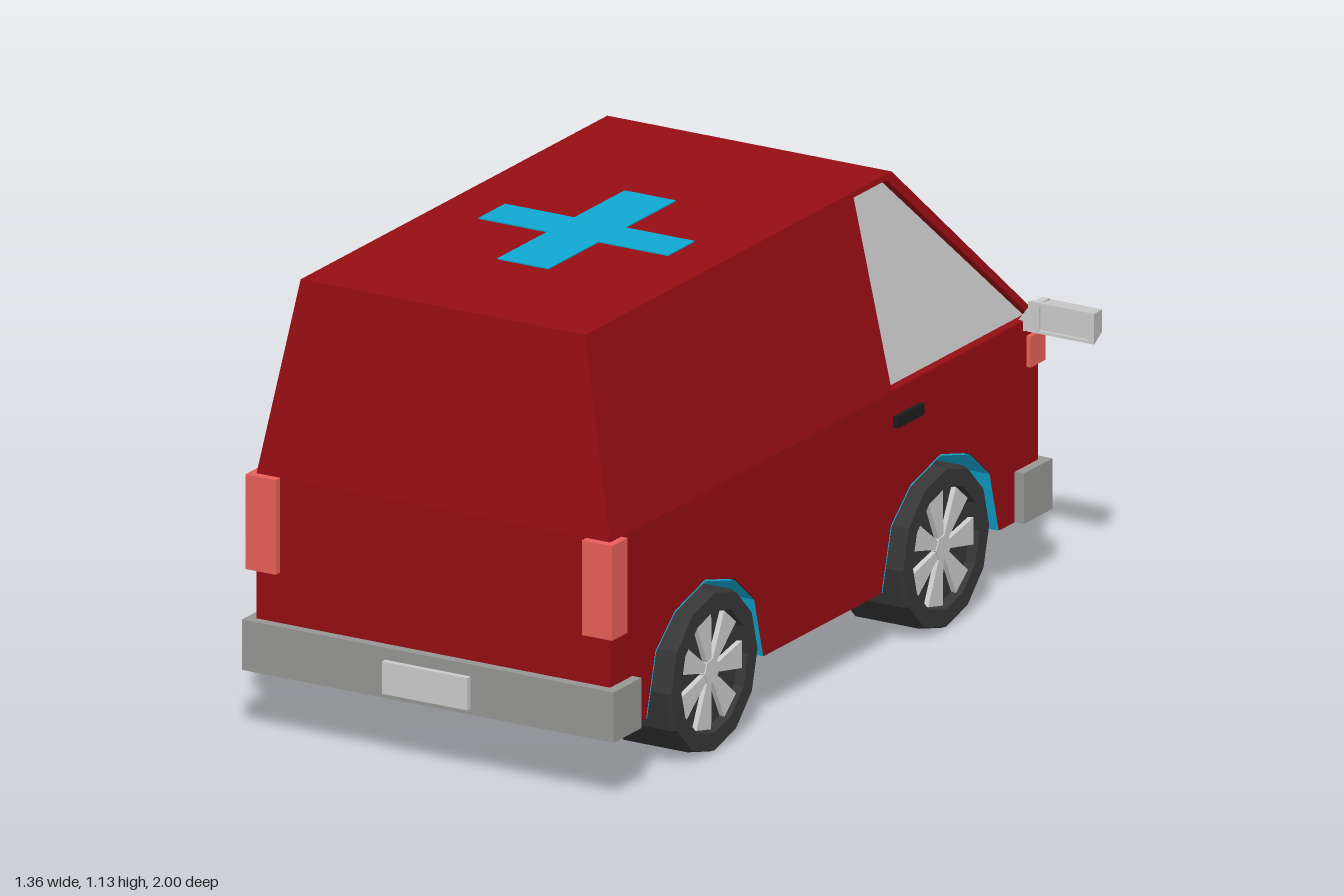
import * as THREE from 'three';

const mat = (color) => new THREE.MeshStandardMaterial({ color, flatShading: true, side: THREE.DoubleSide });
const RED = mat(0x960d13), BLUE = mat(0x10a8d2), GREY = mat(0xcccccc), STEEL = mat(0x969694);
const LAMP = mat(0xe8605a), TYRE = mat(0x363636), BLACK = mat(0x1c1c1c);

const HALF = 0.485, SILL = 0.165, BELT = 0.65, ROOF = 1.135, TOP_HALF = 0.39;
const REAR = 0.96, NOSE = -0.975, WELL_IN = 0.297;

function add(parent, name, geometry, material, x = 0, y = 0, z = 0) {
  const mesh = new THREE.Mesh(geometry, material);
  mesh.name = name;
  mesh.position.set(x, y, z);
  parent.add(mesh);
  return mesh;
}

// Box given by its limits
function block(parent, name, material, [x0, x1], [y0, y1], [z0, z1]) {
  return add(parent, name, new THREE.BoxGeometry(Math.abs(x1 - x0), y1 - y0, Math.abs(z1 - z0)), material,
    (x0 + x1) / 2, (y0 + y1) / 2, (z0 + z1) / 2);
}

// Skin through equal-length loops of points, optionally capped at either end
function loft(rings, { closed = true, capStart = false, capEnd = false } = {}) {
  const out = [], n = rings[0].length;
  const tri = (...pts) => pts.forEach((p) => out.push(...p));
  for (let k = 0; k + 1 < rings.length; k++) {
    const a = rings[k], b = rings[k + 1];
    for (let i = 0; i < (closed ? n : n - 1); i++) {
      const j = (i + 1) % n;
      tri(a[i], a[j], b[j]);
      tri(a[i], b[j], b[i]);
    }
  }
  const first = rings[0], last = rings[rings.length - 1];
  for (let i = 1; i + 1 < n; i++) {
    if (capEnd) tri(last[0], last[i], last[i + 1]);
    if (capStart) tri(first[0], first[i + 1], first[i]);
  }
  const g = new THREE.BufferGeometry();
  g.setAttribute('position', new THREE.Float32BufferAttribute(out, 3));
  g.computeVertexNormals();
  return g;
}

// Mirrors a loop to side s, keeping its winding outward
const sided = (s, loop) => {
  const pts = loop.map(([x, y, z]) => [s * x, y, z]);
  return s < 0 ? pts.reverse() : pts;
};

// Panel with a recessed window
function windowPanel(parent, name, outer, inner, inset) {
  add(parent, name + 'Frame', loft([outer, inner, inset]), RED);
  add(parent, name + 'Glass', loft([inset], { capEnd: true }), GREY);
}

const WELLS = [0.53, -0.535];
const ARCH = [[0.267, SILL], [0.225, 0.32], [0.137, 0.395], [0, 0.432], [-0.137, 0.395], [-0.225, 0.32], [-0.267, SILL]];

function lowerBody(body) {
  block(body, 'lowerBodyCore', RED, [-0.29, 0.29], [SILL, BELT], [NOSE, REAR]);
  // Side panels with arch cut-outs
  const shape = new THREE.Shape();
  shape.moveTo(NOSE, BELT);
  shape.lineTo(REAR, BELT);
  shape.lineTo(REAR, SILL);
  for (const c of WELLS) ARCH.forEach(([dz, y]) => shape.lineTo(c + dz, y));
  shape.lineTo(NOSE, SILL);
  const panel = new THREE.ExtrudeGeometry(shape, { depth: HALF - 0.29, bevelEnabled: false }).rotateY(-Math.PI / 2);
  add(body, 'leftLowerPanel', panel, RED, HALF);
  add(body, 'rightLowerPanel', panel, RED, -0.29);
  // Wheel well linings
  for (const s of [1, -1]) for (const c of WELLS) {
    const ring = (x) => ARCH.map(([dz, y]) => [s * x, SILL + (y - SILL) * 0.985, c + dz * 0.985]);
    add(body, 'wheelWell', loft([ring(HALF), ring(WELL_IN)], { closed: false, capEnd: true }), BLUE);
  }
}

function upperBody(body) {
  const onSide = (y, z, inward = 0) => [HALF - (HALF - TOP_HALF) * (y - BELT) / (ROOF - BELT) - inward, y, z];
  const backTop = 0.917, frontTop = -0.47;
  for (const s of [1, -1]) {
    const win = [[0.654, -0.315], [0.654, -0.945], [1.122, -0.442], [1.122, -0.294]];
    windowPanel(body, s > 0 ? 'leftSide' : 'rightSide',
      sided(s, [onSide(BELT, REAR), onSide(BELT, NOSE), onSide(ROOF, frontTop), onSide(ROOF, backTop)]),
      sided(s, win.map(([y, z]) => onSide(y, z))),
      sided(s, win.map(([y, z]) => onSide(y, z, 0.022))));
  }
  // Windscreen: t runs up the slope
  const onFront = (x, t, d = 0) => [x, BELT + (ROOF - BELT) * t - d, NOSE + (frontTop - NOSE) * t + d];
  const screen = [[0.437, 0.07], [-0.437, 0.07], [-0.352, 0.945], [0.352, 0.945]];
  windowPanel(body, 'windscreen',
    [onFront(HALF, 0), onFront(-HALF, 0), onFront(-TOP_HALF, 1), onFront(TOP_HALF, 1)],
    screen.map(([x, t]) => onFront(x, t)),
    screen.map(([x, t]) => onFront(x, t, 0.008)));
  const t = TOP_HALF;
  add(body, 'roof', loft([[[-t, ROOF, backTop], [t, ROOF, backTop], [t, ROOF, frontTop], [-t, ROOF, frontTop]]], { capEnd: true }), RED);
  add(body, 'rearPanel', loft([[[-HALF, BELT, REAR], [HALF, BELT, REAR], [t, ROOF, backTop], [-t, ROOF, backTop]]], { capEnd: true }), RED);

  // Roof cross
  const cross = new THREE.Shape();
  const a = 0.07, b = 0.06, w = 0.26, h = 0.288;
  [[a, b], [w, b], [w, -b], [a, -b], [a, -h], [-a, -h], [-a, -b], [-w, -b], [-w, b], [-a, b], [-a, h], [a, h]]
    .forEach(([x, y], i) => (i ? cross.lineTo(x, y) : cross.moveTo(x, y)));
  add(body, 'roofCross', new THREE.ExtrudeGeometry(cross, { depth: 0.003, bevelEnabled: false }).rotateX(-Math.PI / 2),
    BLUE, 0, ROOF, 0.267);
}

function wheel() {
  const g = new THREE.Group();
  const profile = [[0, -0.095], [0.2, -0.095], [0.2, 0.08], [0.195, 0.093], [0.152, 0.093], [0.146, 0.07], [0, 0.07]];
  const tyre = new THREE.LatheGeometry(profile.map(([r, y]) => new THREE.Vector2(r, y)), 12).rotateZ(-Math.PI / 2);
  add(g, 'tyre', tyre, TYRE);
  // Spokes widen towards the rim
  const spoke = new THREE.Shape([[-0.009, 0.02], [0.009, 0.02], [0.034, 0.141], [-0.034, 0.141]]
    .map(([x, y]) => new THREE.Vector2(x, y)));
  const spokeGeo = new THREE.ExtrudeGeometry(spoke, { depth: 0.015, bevelEnabled: false }).rotateY(Math.PI / 2);
  for (let i = 0; i < 7; i++) {
    add(g, 'spoke', spokeGeo, GREY, 0.068).rotation.x = (i + 0.25) * Math.PI * 2 / 7;
  }
  add(g, 'hub', new THREE.CylinderGeometry(0.032, 0.032, 0.02, 7).rotateZ(-Math.PI / 2), GREY, 0.076);
  return g;
}

function mirror(parent, s) {
  const rect = (x0, x1, y0, y1, z) => sided(s, [[x0, y0, z], [x1, y0, z], [x1, y1, z], [x0, y1, z]]);
  const inset = rect(0.53, 0.663, 0.637, 0.698, -0.913);
  const rings = [rect(0.52, 0.663, 0.64, 0.695, -0.972), rect(0.5, 0.682, 0.63, 0.706, -0.905),
    rect(0.53, 0.663, 0.637, 0.698, -0.905), inset];
  add(parent, 'mirrorHousing', loft(rings, { capStart: true }), GREY);
  add(parent, 'mirrorGlass', loft([inset], { capEnd: true }), GREY);
  // Arm tapering to the door
  const arm = [[0.47, 0.628], [0.53, 0.632], [0.53, 0.704], [0.51, 0.704], [0.47, 0.65]];
  const armRing = (z) => sided(s, arm.map(([x, y]) => [x, y, z]));
  add(parent, 'mirrorArm', loft([armRing(-0.955), armRing(-0.907)], { capStart: true, capEnd: true }), GREY);
}

export function createModel() {
  const van = new THREE.Group();
  van.name = 'van';
  const body = new THREE.Group();
  body.name = 'body';
  van.add(body);
  lowerBody(body);
  upperBody(body);

  // Bumpers and plates
  block(van, 'rearBumper', STEEL, [-0.51, 0.51], [SILL, 0.29], [0.86, 0.985]);
  block(van, 'frontBumper', STEEL, [-0.51, 0.51], [SILL, 0.29], [-1, -0.87]);
  block(van, 'rearPlate', GREY, [-0.117, 0.117], [0.18, 0.26], [0.97, 1]);
  block(van, 'frontPlate', GREY, [-0.117, 0.117], [0.37, 0.445], [-0.988, -0.96]);

  for (const s of [1, -1]) {
    block(van, 'tailLight', LAMP, [s * 0.42, s * 0.503], [0.415, BELT], [0.91, 0.98]);
    block(van, 'headlight', LAMP, [s * 0.265, s * 0.497], [0.535, 0.612], [-0.99, -0.923]);
    block(van, 'doorHandle', BLACK, [s * 0.47, s * 0.498], [0.56, 0.588], [-0.44, -0.32]);
    mirror(van, s);
    for (const [name, z] of [['rearWheel', 0.516], ['frontWheel', -0.532]]) {
      const w = wheel();
      w.name = name;
      w.position.set(s * 0.409, 0.203, z);
      if (s < 0) w.rotation.y = Math.PI;
      van.add(w);
    }
  }
  return van;
}
